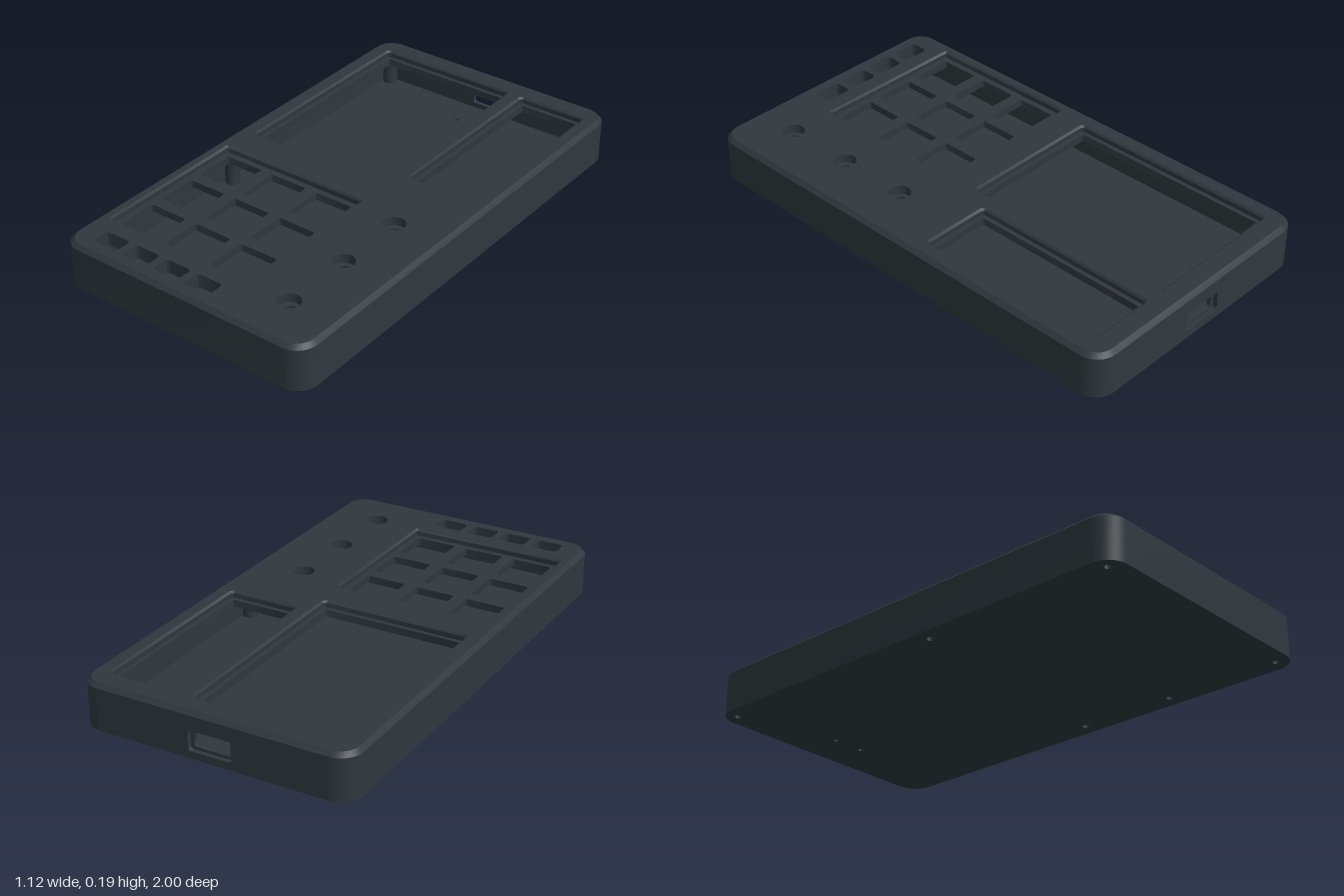
import * as THREE from 'three';
import { toCreasedNormals } from 'three/addons/utils/BufferGeometryUtils.js';

const H = 0.187, CHAMFER_Y = 0.17, PANEL_Y = 0.13, FLOOR_Y = 0.02;

// Closed outlines as [x, z] points
function rect(x0, x1, z0, z1, r, inset = 0, n = 8) {
  x0 += inset; x1 -= inset; z0 += inset; z1 -= inset;
  r = Math.max(r - inset, 0.004);
  const pts = [];
  [[x1 - r, z1 - r], [x0 + r, z1 - r], [x0 + r, z0 + r], [x1 - r, z0 + r]].forEach(([cx, cz], q) => {
    for (let i = 0; i <= n; i++) {
      const a = (q + i / n) * Math.PI / 2;
      pts.push([cx + r * Math.cos(a), cz + r * Math.sin(a)]);
    }
  });
  return pts;
}

function circle(x, z, r, n = 28) {
  return Array.from({ length: n }, (_, i) => {
    const a = i / n * Math.PI * 2;
    return [x + r * Math.cos(a), z + r * Math.sin(a)];
  });
}

// Skin between stacked outlines: upward order faces out, downward order faces in
function sweep(levels, skip = () => false) {
  const pos = [];
  for (let k = 0; k + 1 < levels.length; k++) {
    const [A, ya] = levels[k], [B, yb] = levels[k + 1];
    for (let i = 0; i < A.length; i++) {
      const j = (i + 1) % A.length;
      if (skip(k, A[i], A[j])) continue;
      const a = [A[i][0], ya, A[i][1]], b = [A[j][0], ya, A[j][1]];
      const c = [B[i][0], yb, B[i][1]], d = [B[j][0], yb, B[j][1]];
      pos.push(...a, ...c, ...b, ...b, ...c, ...d);
    }
  }
  const g = new THREE.BufferGeometry();
  g.setAttribute('position', new THREE.Float32BufferAttribute(pos, 3));
  return toCreasedNormals(g, 0.6);
}

// Flat sheet with holes, facing up or down
function sheet(y, outline, holes = [], up = true) {
  const s = up ? -1 : 1;
  const vec = (pts) => pts.map(([x, z]) => new THREE.Vector2(x, s * z));
  const shape = new THREE.Shape(vec(outline));
  shape.holes = holes.map((h) => new THREE.Path(vec(h)));
  return new THREE.ShapeGeometry(shape).rotateX(s * Math.PI / 2).translate(0, y, 0);
}

export function createModel() {
  const model = new THREE.Group();
  model.name = 'deviceCase';
  const shell = new THREE.MeshStandardMaterial({ color: 0x2f383e });
  shell.name = 'charcoal shell';
  const add = (name, geometry) => {
    const mesh = new THREE.Mesh(geometry, shell);
    mesh.name = name;
    model.add(mesh);
  };

  const topHoles = [], underHoles = [];

  // Display windows: chamfered recess, ledge, then opening
  for (const [name, ...b] of [
    ['mainWindow', -0.49, 0.137, -0.91, 0.0],
    ['sideWindow', 0.19, 0.497, -0.91, -0.105],
  ]) {
    const rim = rect(...b, 0.025), lip = rect(...b, 0.025, 0.008), opening = rect(...b, 0.025, 0.026);
    topHoles.push(rim);
    underHoles.push(opening);
    add(name, sweep([[rim, H], [lip, H - 0.008], [lip, 0.16], [opening, 0.16], [opening, PANEL_Y]]));
  }

  // Keypad recess with a three by three grid of key openings
  const padRim = rect(-0.515, 0.157, 0.127, 0.8, 0.015);
  const padLip = rect(-0.515, 0.157, 0.127, 0.8, 0.015, 0.008);
  topHoles.push(padRim);
  add('keypadRecess', sweep([[padRim, H], [padLip, H - 0.008], [padLip, 0.16]]));
  const keys = [];
  for (let row = 0; row < 3; row++) {
    for (let col = 0; col < 3; col++) {
      const x = -0.397 + col * 0.219, z = 0.245 + row * 0.219;
      const key = rect(x - 0.084, x + 0.084, z - 0.084, z + 0.084, 0.008);
      keys.push(key);
      add('keyOpening', sweep([[key, 0.16], [key, PANEL_Y]]));
    }
  }
  underHoles.push(...keys);
  add('keypadPlate', sheet(0.16, padLip, keys));

  // Row of small button slots along the front edge
  for (let i = 0; i < 4; i++) {
    const x = -0.4 + i * 0.147;
    const slot = rect(x - 0.058, x + 0.058, 0.863, 0.941, 0.016);
    topHoles.push(slot);
    underHoles.push(slot);
    add('buttonSlot', sweep([[slot, H], [slot, PANEL_Y]]));
  }

  // Round stepped knob holes
  for (const z of [0.187, 0.493, 0.797]) {
    const wide = circle(0.344, z, 0.045), narrow = circle(0.344, z, 0.025);
    topHoles.push(wide);
    underHoles.push(narrow);
    add('knobHole', sweep([[wide, H], [wide, 0.15], [narrow, 0.15], [narrow, PANEL_Y]]));
  }

  // Outer shell, top panel and hollow interior; flat back strips are cut for the port
  const body = [-0.56, 0.56, -1, 1, 0.085], cavity = [-0.525, 0.525, -0.965, 0.965, 0.05];
  const outer = rect(...body), topEdge = rect(...body, 0.017), inner = rect(...cavity);
  const backOf = (z) => (k, a, b) => k === 0 && a[1] < z + 1e-6 && b[1] < z + 1e-6
    && Math.abs(a[0] - b[0]) > 0.5;
  add('outerShell', sweep([[outer, 0], [outer, CHAMFER_Y], [topEdge, H]], backOf(-1)));
  add('topPanel', sheet(H, topEdge, topHoles));
  add('topPanelUnderside', sheet(PANEL_Y, inner, underHoles, false));
  add('innerWall', sweep([[inner, PANEL_Y], [inner, FLOOR_Y]], backOf(-0.965)));

  // Back wall with stepped port opening, laid flat then stood up
  const portOuter = rect(-0.09, 0.09, 0.03, 0.112, 0.012);
  const portInner = rect(-0.075, 0.075, 0.042, 0.1, 0.01);
  const strip = (x, y0, y1) => [[-x, y0], [x, y0], [x, y1], [-x, y1]];
  const stand = (g) => g.rotateX(-Math.PI / 2);
  add('backWall', stand(sheet(1, strip(0.475, 0, CHAMFER_Y), [portOuter])));
  add('backWallInside', stand(sheet(0.965, strip(0.475, FLOOR_Y, PANEL_Y), [portInner], false)));
  add('portOpening', stand(sweep([
    [portOuter, 1], [portOuter, 0.982], [portInner, 0.982], [portInner, 0.965],
  ])));

  // Two pinholes through the floor
  const pinholes = [-0.072, 0.067].map((x) => circle(x, -0.827, 0.011, 16));
  for (const hole of pinholes) add('floorPinhole', sweep([[hole, FLOOR_Y], [hole, 0]]));

  // Screw posts with blind holes from below
  const screwHoles = [];
  for (const [x, z] of [[-0.5, -0.94], [-0.5, 0.12], [-0.5, 0.94], [0.5, 0.94], [0.5, 0.45], [0.5, 0.03]]) {
    const hole = circle(x, z, 0.015, 16);
    screwHoles.push(hole);
    add('screwHole', sweep([[hole, 0.08], [hole, 0]]));
    add('screwHoleEnd', sheet(0.08, hole, [], false));
    const post = new THREE.CylinderGeometry(0.03, 0.03, PANEL_Y - FLOOR_Y, 20, 1, true);
    add('screwPost', post.translate(x, (PANEL_Y + FLOOR_Y) / 2, z));
  }

  // Floor
  add('floor', sheet(FLOOR_Y, inner, pinholes));
  add('underside', sheet(0, outer, [...pinholes, ...screwHoles], false));

  return model;
}
